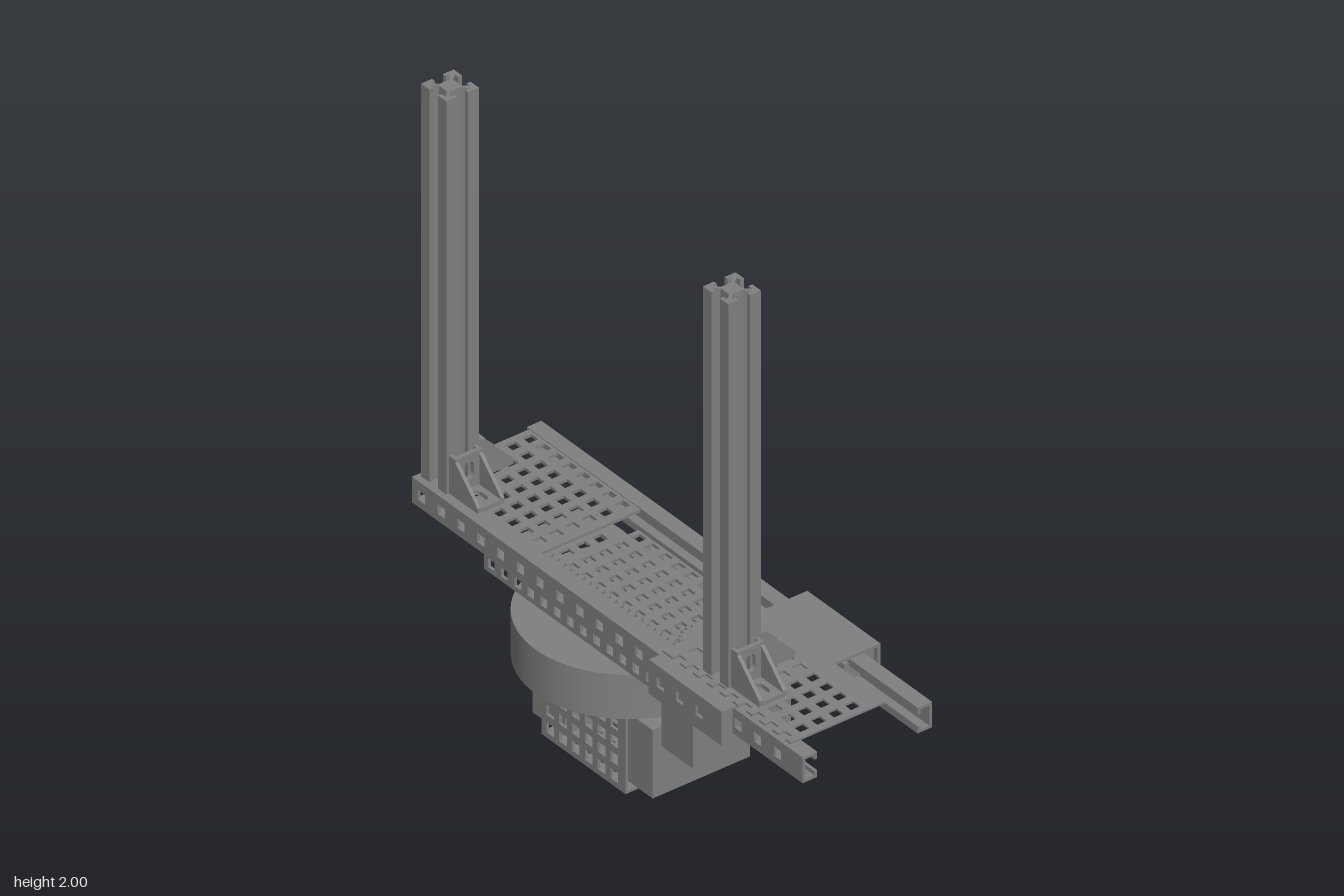
import * as THREE from 'three';

const material = new THREE.MeshStandardMaterial({ color: 0x808080, side: THREE.DoubleSide });
const T = 0.01; // sheet thickness
const PITCH = 0.0625;

function add(parent, name, geometry, x = 0, y = 0, z = 0) {
  const mesh = new THREE.Mesh(geometry, material);
  mesh.name = name;
  mesh.position.set(x, y, z);
  parent.add(mesh);
  return mesh;
}

function box(parent, name, x0, x1, y0, y1, z0, z1) {
  return add(parent, name, new THREE.BoxGeometry(x1 - x0, y1 - y0, z1 - z0),
    (x0 + x1) / 2, (y0 + y1) / 2, (z0 + z1) / 2);
}

function polygon(points) {
  return new THREE.Shape(points.map(([x, y]) => new THREE.Vector2(x, y)));
}

function rect(x0, x1, y0, y1) {
  return polygon([[x0, y0], [x1, y0], [x1, y1], [x0, y1]]);
}

function extrude(shape, depth) {
  return new THREE.ExtrudeGeometry(shape, { depth, bevelEnabled: false, curveSegments: 8 });
}

// Evenly spaced numbers from a first value
const row = (first, count, step = PITCH) => Array.from({ length: count }, (_, i) => first + i * step);

// Sheet with a grid of square holes, in the XY plane
function perforated(x0, x1, y0, y1, xs, ys, size = 0.034) {
  const shape = rect(x0, x1, y0, y1);
  const h = size / 2;
  for (const x of xs) for (const y of ys) {
    shape.holes.push(rect(x - h, x + h, y - h, y + h));
  }
  return extrude(shape, T);
}

// Horizontal sheet: shape y becomes z, top surface at the given height
const lay = (geometry) => geometry.rotateX(Math.PI / 2);

// Slotted square column
function post(parent, name, x, y0) {
  const o = 0.06, s = 0.02, w = 0.036, d = 0.026, t = 0.046;
  const side = [[-o, -o], [-s, -o], [-s, -t], [-w, -t], [-s, -d], [s, -d], [w, -t], [s, -t], [s, -o]];
  const points = [];
  for (let i = 0; i < 4; i++) {
    const c = Math.round(Math.cos(i * Math.PI / 2)), n = Math.round(Math.sin(i * Math.PI / 2));
    for (const [a, b] of side) points.push([a * c - b * n, a * n + b * c]);
  }
  add(parent, name, extrude(polygon(points), 2 - y0).rotateX(-Math.PI / 2), x, y0, 0.14);
}

// Corner bracket: two triangular cheeks and two slotted plates, running along +x
function bracket(parent, name, x, y, z, turn) {
  const g = new THREE.Group();
  g.name = name;
  const L = 0.135, W = 0.1;
  const cheek = polygon([[0, 0], [L, 0], [L, 0.02], [0.02, L], [0, L]]);
  for (const s of [-W / 2, W / 2 - 0.012]) add(g, 'bracketCheek', extrude(cheek, 0.012), 0, 0, s);
  const slotted = () => {
    const shape = rect(0, L, -W / 2, W / 2);
    const slot = new THREE.Path();
    slot.absarc(0.065, 0, 0.018, Math.PI / 2, Math.PI * 1.5);
    slot.absarc(0.09, 0, 0.018, -Math.PI / 2, Math.PI / 2);
    slot.closePath();
    shape.holes.push(slot);
    return extrude(shape, 0.015);
  };
  add(g, 'bracketFoot', lay(slotted()), 0, 0.015, 0);
  add(g, 'bracketBack', lay(slotted()).rotateZ(Math.PI / 2), 0.015, 0, 0);
  g.position.set(x, y, z);
  g.rotation.y = turn;
  parent.add(g);
}

// C-shaped slide rail; side = +1 faces front, -1 faces back
function rail(parent, name, zOuter, side, firstHole) {
  const g = new THREE.Group();
  g.name = name;
  const x0 = -0.93, x1 = 0.927;
  const zWeb = side > 0 ? zOuter - T : zOuter;
  add(g, 'railWeb', perforated(x0, x1, 0.53, 0.62, row(firstHole, 19, 0.094), [0.572]), 0, 0, zWeb);
  const zIn = zOuter - side * 0.053;
  const a = Math.min(zOuter, zIn), b = Math.max(zOuter, zIn);
  const lip = zIn + side * T;
  for (const y of [0.53, 0.61]) {
    box(g, 'railFlange', x0, x1, y, y + T, a, b);
    const ly = y < 0.57 ? y : y - 0.015;
    box(g, 'railLip', x0, x1, ly, ly + 0.025, Math.min(zIn, lip), Math.max(zIn, lip));
  }
  parent.add(g);
}

function gearGeometry(teeth, r0, r1, height) {
  const points = [];
  for (let i = 0; i < teeth; i++) {
    [[0, r0], [0.3, r0], [0.45, r1], [0.8, r1]].forEach(([f, r]) => {
      const a = (i + f) / teeth * Math.PI * 2;
      points.push([Math.cos(a) * r, Math.sin(a) * r]);
    });
  }
  return lay(extrude(polygon(points), height));
}

export function createModel() {
  const model = new THREE.Group();
  model.name = 'slideMechanism';

  // Slide rails, their holes staggered
  rail(model, 'frontRail', 0.222, 1, -0.885);
  rail(model, 'backRail', -0.255, -1, -0.838);

  // Raised deck at the right end, sunken floor in the middle
  const deckRows = row(-0.175, 6, 0.061);
  add(model, 'deck', lay(perforated(-0.92, -0.39, -0.205, 0.18, row(-0.88, 8), deckRows)), 0, 0.617, 0);
  add(model, 'sunkenFloor', lay(perforated(-0.4, 0.29, -0.205, 0.18, row(-0.365, 11), deckRows)), 0, 0.54, 0);

  // Lower channel
  const channel = new THREE.Group();
  channel.name = 'lowerChannel';
  const holes = row(-0.575, 14);
  add(channel, 'channelTop', lay(perforated(-0.61, 0.285, -0.175, 0.205, holes, row(-0.16, 6, 0.061))), 0, 0.527, 0);
  for (const [z, first] of [[0.195, -0.575], [-0.175, -0.544]]) {
    add(channel, 'channelSide', perforated(-0.61, 0.285, 0.46, 0.527, row(first, 13), [0.492], 0.031), 0, 0, z);
  }
  model.add(channel);

  // Rack and pinion
  const rack = [[-0.4, 0.175]];
  for (const x of row(-0.4, 22, 0.0305)) rack.push([x, 0.15], [x + 0.01, 0.127], [x + 0.02, 0.127], [x + 0.03, 0.15]);
  rack.push([0.27, 0.175]);
  add(model, 'rack', lay(extrude(polygon(rack), 0.065)), 0, 0.605, 0);
  add(model, 'pinion', gearGeometry(20, 0.06, 0.073, 0.07), 0.24, 0.612, 0.055);
  add(model, 'pinionShaft', new THREE.CylinderGeometry(0.007, 0.007, 0.18, 12), 0.24, 0.53, 0.06);

  // Carriage riding on the rails
  const carriage = new THREE.Group();
  carriage.name = 'carriage';
  box(carriage, 'carriageTop', 0.27, 0.617, 0.63, 0.64, -0.305, 0.28);
  for (const z of [0.27, -0.305]) {
    add(carriage, 'carriageSide', perforated(0.27, 0.617, 0.52, 0.64, row(0.325, 3, 0.092), [0.582]), 0, 0, z);
  }
  const slider = polygon([[0, 0.53], [0.02, 0.53], [0.04, 0.55], [0.04, 0.61], [0.02, 0.63], [0, 0.63]]);
  for (const s of [1, -1]) {
    const block = add(carriage, 'slideBlock', extrude(slider, 0.32), 0.6, 0, s > 0 ? 0.227 : -0.258);
    block.geometry.rotateY(-Math.PI / 2);
    if (s < 0) block.geometry.rotateY(Math.PI).translate(-0.32, 0, 0);
  }
  box(carriage, 'innerSlider', 0.28, 0.6, 0.545, 0.605, 0.155, 0.21);
  box(carriage, 'innerSlider', 0.28, 0.6, 0.545, 0.605, -0.243, -0.185);
  model.add(carriage);

  // Outer plate, its front edge notched through a row of holes
  const plateX = row(0.3375, 9);
  const edge = [[0.27, -0.125], [0.88, -0.125], [0.88, 0.23]];
  for (const x of [...plateX].reverse()) {
    edge.push([x + 0.017, 0.23], [x + 0.017, 0.205], [x - 0.017, 0.205], [x - 0.017, 0.23]);
  }
  edge.push([0.27, 0.23]);
  const outer = polygon(edge);
  for (const x of plateX) for (const z of row(-0.03, 4)) {
    outer.holes.push(rect(x - 0.017, x + 0.017, z - 0.017, z + 0.017));
  }
  add(model, 'outerPlate', lay(extrude(outer, 0.007)), 0, 0.652, 0);

  // Posts with two corner brackets each
  for (const [side, x, y] of [['right', -0.855, 0.617], ['left', 0.485, 0.652]]) {
    post(model, side + 'Post', x, y);
    bracket(model, side + 'SideBracket', x + 0.06, y, 0.14, 0);
    bracket(model, side + 'BackBracket', x, y, 0.08, Math.PI / 2);
  }

  // Turntable and motor
  add(model, 'turntable', new THREE.CylinderGeometry(0.345, 0.345, 0.155, 72), -0.185, 0.3825, 0);
  box(model, 'motorBox', 0.16, 0.31, 0.222, 0.46, -0.213, 0.147);

  // Perforated cage with a battery box at each side
  const cage = new THREE.Group();
  cage.name = 'cage';
  const cageX = row(-0.325, 6, 0.061);
  for (const z of [0.172, -0.238]) {
    add(cage, 'cageSide', perforated(-0.365, 0.033, 0, 0.305, cageX, row(0.037, 5, 0.061), 0.036), 0, 0, z);
  }
  add(cage, 'cageFloor', lay(perforated(-0.365, 0.033, -0.238, 0.182, cageX, row(-0.18, 6, 0.061), 0.036)), 0, T, 0);
  box(cage, 'rightBatteryBox', -0.455, -0.3, 0.015, 0.255, -0.213, 0.147);
  box(cage, 'leftBatteryBox', -0.03, 0.117, 0.015, 0.255, -0.213, 0.147);
  model.add(cage);

  return model;
}
